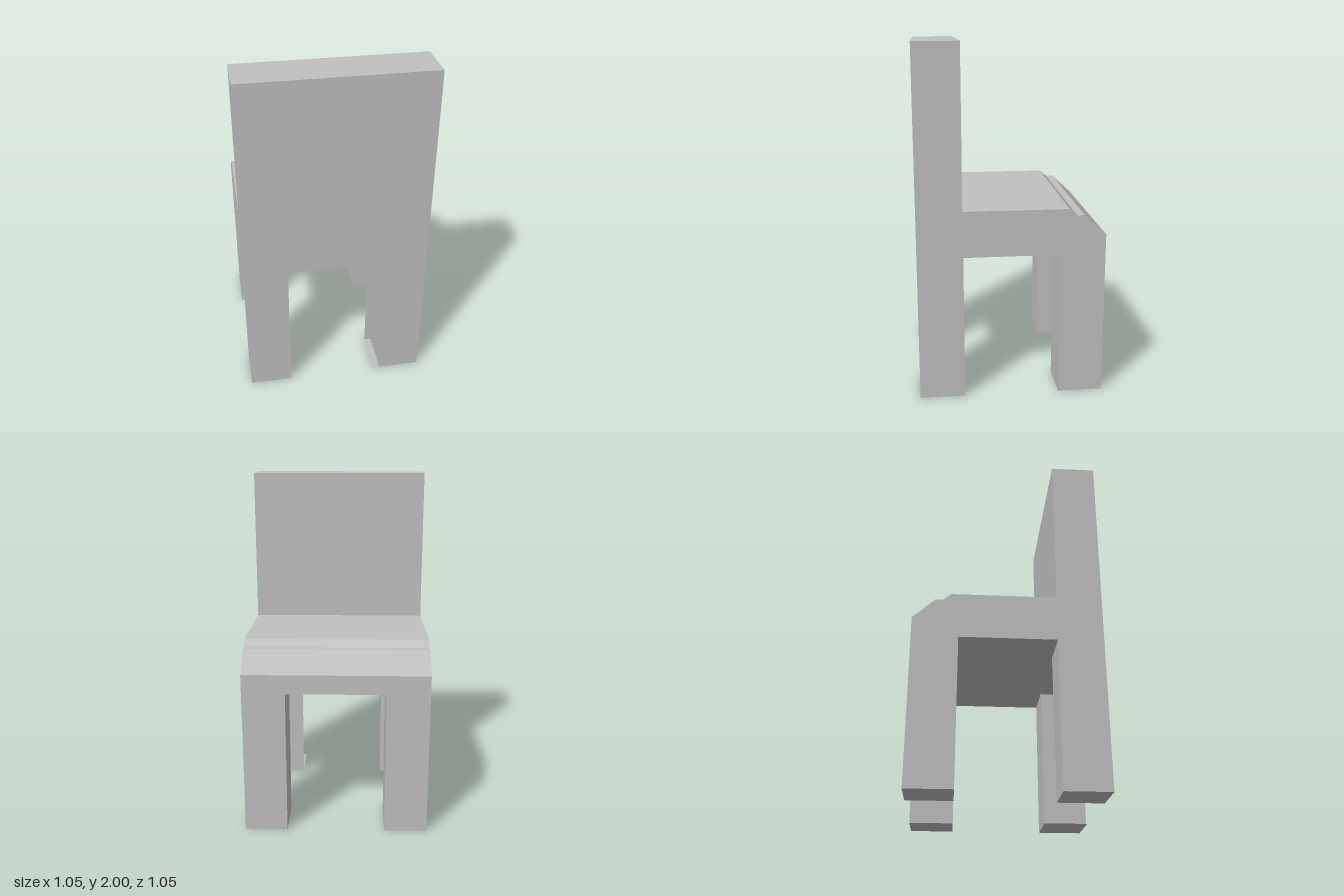
import * as THREE from 'three';

const HALF = 0.527;      // half of width and depth
const SEAT_UNDER = 0.835;
const INNER_X = 0.282;   // inner side of the legs
const INNER_Z = 0.271;

export function createModel() {
  const chair = new THREE.Group();
  chair.name = 'chair';
  const grey = new THREE.MeshStandardMaterial({ color: 0xc0c0c0 });
  grey.name = 'grey';
  const greyThin = grey.clone();
  greyThin.side = THREE.DoubleSide;

  const add = (name, geometry, x = 0, y = 0, z = 0, material = grey) => {
    const mesh = new THREE.Mesh(geometry, material);
    mesh.name = name;
    mesh.position.set(x, y, z);
    chair.add(mesh);
    return mesh;
  };

  // Seat and backrest: one side profile (z, y) extruded across the width
  const profile = new THREE.Shape([
    [-HALF, SEAT_UNDER], [HALF, SEAT_UNDER], [HALF, 2], [0.273, 2],
    [0.273, 1.097], [-0.316, 1.097], [-0.36, 1.06], [-0.402, 1.06], [-HALF, 0.945],
  ].map(([z, y]) => new THREE.Vector2(z, y)));
  const body = new THREE.ExtrudeGeometry(profile, { depth: 2 * HALF, bevelEnabled: false });
  body.rotateY(-Math.PI / 2);
  add('seatAndBackrest', body, HALF);

  // Four square legs
  const legW = HALF - INNER_X, legD = HALF - INNER_Z;
  const legGeometry = new THREE.BoxGeometry(legW, SEAT_UNDER, legD);
  for (const [sx, side] of [[1, 'Left'], [-1, 'Right']]) {
    for (const [sz, end] of [[1, 'front'], [-1, 'back']]) {
      add(`${end}${side}Leg`, legGeometry,
        sx * (INNER_X + legW / 2), SEAT_UNDER / 2, sz * (INNER_Z + legD / 2));
    }
  }

  // Thin flanges where the front left leg's rear and bottom faces overhang inwards
  const lip = 0.04, lipX = INNER_X - lip / 2;
  add('legRearFlange', new THREE.PlaneGeometry(lip, SEAT_UNDER).rotateY(Math.PI),
    lipX, SEAT_UNDER / 2, INNER_Z, greyThin);
  add('legBottomFlange', new THREE.PlaneGeometry(lip, legD).rotateX(Math.PI / 2),
    lipX, 0, INNER_Z + legD / 2, greyThin);

  return chair;
}
